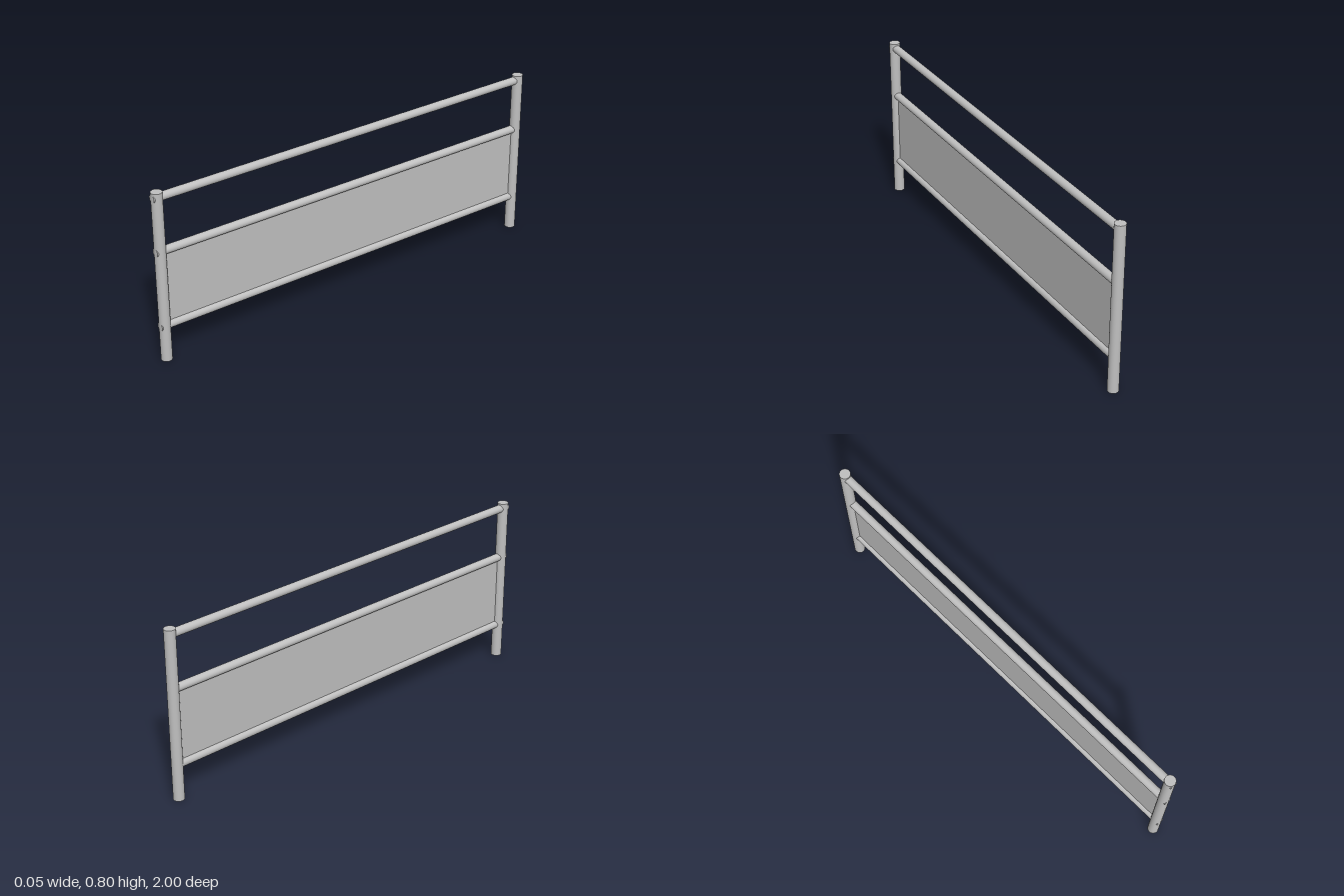
import * as THREE from 'three';

export function createModel() {
  const model = new THREE.Group();
  const metal = new THREE.MeshStandardMaterial({ color: 0xc0c0c0 });
  metal.name = 'grey metal';

  const add = (name, geometry, x, y, z) => {
    const mesh = new THREE.Mesh(geometry, metal);
    mesh.name = name;
    mesh.position.set(x, y, z);
    model.add(mesh);
    return mesh;
  };

  // Upright posts at the front and back
  const post = new THREE.CylinderGeometry(0.025, 0.025, 0.8, 40);
  add('frontPost', post, 0, 0.4, 0.975);
  add('backPost', post, 0, 0.4, -0.975);

  // Horizontal rails, running through the front post and into the back one
  const railStart = -0.975, railEnd = 0.998;
  const rail = new THREE.CylinderGeometry(0.0187, 0.0187, railEnd - railStart, 32);
  rail.rotateX(Math.PI / 2);
  const heights = { topRail: 0.774, middleRail: 0.524, bottomRail: 0.167 };
  for (const [name, y] of Object.entries(heights)) {
    add(name, rail, 0, y, (railStart + railEnd) / 2);
  }

  // Thin infill panel between the lower two rails
  const { middleRail, bottomRail } = heights;
  const panel = new THREE.BoxGeometry(0.006, middleRail - bottomRail, 1.92);
  add('infillPanel', panel, 0, (middleRail + bottomRail) / 2, 0);

  return model;
}
